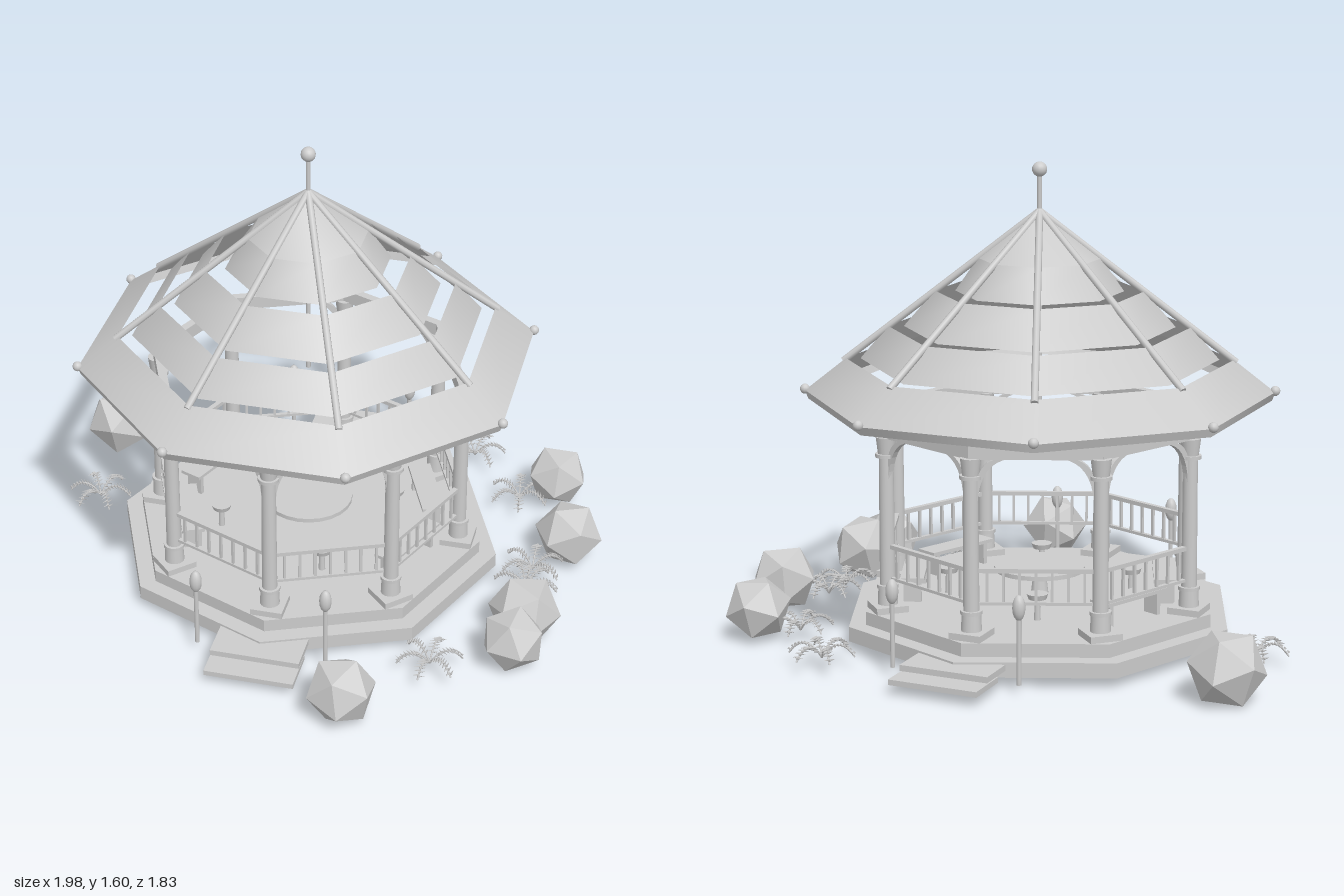
import * as THREE from 'three';

export function createModel() {
  const model = new THREE.Group();
  const stone = new THREE.MeshStandardMaterial({ color: 0xcccccc });
  stone.name = 'plainGrey';
  stone.side = THREE.DoubleSide;
  const faceted = stone.clone();
  faceted.name = 'plainGreyFaceted';
  faceted.flatShading = true;

  const EIGHTH = Math.PI / 4;
  const pavilion = new THREE.Group();
  pavilion.name = 'pavilion';
  pavilion.position.set(-0.027, 0, -0.087);
  model.add(pavilion);

  const add = (parent, name, geo, x = 0, y = 0, z = 0, mat = stone) => {
    const m = new THREE.Mesh(geo, mat);
    m.name = name;
    m.position.set(x, y, z);
    parent.add(m);
    return m;
  };
  // Upright cylinder or frustum given by its bottom and top heights
  const drum = (parent, name, rTop, rBottom, y0, y1, sides = 16, open = false, x = 0, z = 0, mat = stone) =>
    add(parent, name, new THREE.CylinderGeometry(rTop, rBottom, y1 - y0, sides, 1, open), x, (y0 + y1) / 2, z, mat);
  // Round bar between two points
  const bar = (parent, name, a, b, r, sides = 8) => {
    const d = b.clone().sub(a);
    const m = add(parent, name, new THREE.CylinderGeometry(r, r, d.length(), sides));
    m.position.copy(a).addScaledVector(d, 0.5);
    m.quaternion.setFromUnitVectors(new THREE.Vector3(0, 1, 0), d.normalize());
  };
  const polar = (angle, r, y) => new THREE.Vector3(Math.sin(angle) * r, y, Math.cos(angle) * r);

  // Octagonal platform in two levels
  drum(pavilion, 'platformBase', 0.677, 0.677, 0.045, 0.095, 8, false, 0, 0, faceted);
  drum(pavilion, 'platformFloor', 0.617, 0.617, 0.095, 0.14, 8, false, 0, 0, faceted);

  // Entrance steps and lamps, front and back
  for (const s of [1, -1]) {
    add(pavilion, 'lowerStep', new THREE.BoxGeometry(0.306, 0.018, 0.16), 0, 0.055, s * 0.75);
    add(pavilion, 'upperStep', new THREE.BoxGeometry(0.306, 0.02, 0.15), 0, 0.078, s * 0.675);
    for (const t of [1, -1]) {
      drum(pavilion, 'lampPost', 0.008, 0.008, 0.045, 0.26, 8, false, t * 0.222, s * 0.662);
      const head = add(pavilion, 'lampHead', new THREE.SphereGeometry(0.021, 12, 8), t * 0.222, 0.297, s * 0.662);
      head.scale.y = 2;
    }
  }

  // Curved bracket board, running outward along +x from its column
  const bracketShape = new THREE.Shape();
  bracketShape.moveTo(0.022, 0.585);
  bracketShape.quadraticCurveTo(0.03, 0.715, 0.125, 0.73);
  bracketShape.lineTo(0.09, 0.73);
  bracketShape.quadraticCurveTo(0.03, 0.72, 0.018, 0.65);
  const bracketGeo = new THREE.ExtrudeGeometry(bracketShape, { depth: 0.02, bevelEnabled: false, curveSegments: 8 });
  bracketGeo.translate(0, 0, -0.01);

  const R = 0.54;
  const side = 2 * R * Math.sin(EIGHTH / 2);
  const apothem = R * Math.cos(EIGHTH / 2);
  for (let i = 0; i < 8; i++) {
    const a = i * EIGHTH;
    // Column with base, rings and capital
    const column = new THREE.Group();
    column.name = 'column';
    column.position.copy(polar(a, R, 0));
    column.rotation.y = a;
    pavilion.add(column);
    add(column, 'columnPlinth', new THREE.BoxGeometry(0.11, 0.022, 0.11), 0, 0.151, 0);
    drum(column, 'columnBase', 0.031, 0.034, 0.16, 0.225);
    drum(column, 'columnBaseRing', 0.036, 0.036, 0.217, 0.229);
    drum(column, 'columnShaft', 0.024, 0.026, 0.225, 0.73);
    drum(column, 'columnNeckRing', 0.036, 0.036, 0.662, 0.674);
    drum(column, 'columnCapital', 0.034, 0.027, 0.674, 0.73);

    // One side of the octagon: beam, brackets and railing
    const bay = new THREE.Group();
    bay.name = 'bay';
    bay.position.copy(polar(a + EIGHTH / 2, apothem, 0));
    bay.rotation.y = a + EIGHTH / 2;
    pavilion.add(bay);
    add(bay, 'beam', new THREE.BoxGeometry(side + 0.012, 0.048, 0.03), 0, 0.751, 0);
    for (const s of [0, 1]) {
      const bracket = add(bay, 'bracket', bracketGeo, s ? side / 2 : -side / 2, 0, 0);
      bracket.rotation.y = s * Math.PI;
    }
    add(bay, 'topRail', new THREE.BoxGeometry(side - 0.04, 0.014, 0.018), 0, 0.361, 0);
    add(bay, 'bottomRail', new THREE.BoxGeometry(side - 0.04, 0.01, 0.014), 0, 0.252, 0);
    for (let k = -3; k <= 3; k++)
      add(bay, 'baluster', new THREE.BoxGeometry(0.009, 0.11, 0.009), k * 0.052, 0.305, 0);
    // Benches against the left and right railings
    if (i % 4 === 1 || i % 4 === 2) {
      add(bay, 'benchSeat', new THREE.BoxGeometry(0.28, 0.012, 0.08), 0, 0.222, -0.075);
      for (const s of [1, -1])
        add(bay, 'benchLeg', new THREE.BoxGeometry(0.015, 0.08, 0.06), s * 0.11, 0.178, -0.075);
    }
  }

  // Centre table and four stools
  drum(pavilion, 'tableTop', 0.155, 0.155, 0.225, 0.24, 24);
  drum(pavilion, 'tableLeg', 0.02, 0.03, 0.14, 0.225, 12);
  for (let i = 0; i < 4; i++) {
    const p = polar(EIGHTH / 2 + i * 2 * EIGHTH, 0.31, 0);
    drum(pavilion, 'stoolSeat', 0.036, 0.03, 0.212, 0.23, 16, false, p.x, p.z);
    drum(pavilion, 'stoolLeg', 0.009, 0.012, 0.14, 0.212, 8, false, p.x, p.z);
  }

  // Tiered octagonal roof; every tier tucks in under the rim of the one below
  const roof = new THREE.Group();
  roof.name = 'roof';
  roof.rotation.y = EIGHTH / 2;
  pavilion.add(roof);
  const tiers = [
    ['eaveTier', 0.647, 0.786, 0.84, 0.95],
    ['lowerTier', 0.505, 0.598, 0.95, 1.06],
    ['middleTier', 0.348, 0.452, 1.06, 1.18],
    ['upperTier', 0.204, 0.28, 1.18, 1.29],
    ['capTier', 0.002, 0.204, 1.29, 1.447],
  ];
  for (const [name, rTop, rBottom, y0, y1] of tiers) drum(roof, name, rTop, rBottom, y0, y1, 8, true);
  drum(roof, 'fascia', 0.786, 0.776, 0.812, 0.84, 8, true);
  const apex = new THREE.Vector3(0, 1.447, 0);
  for (let i = 0; i < 8; i++) {
    bar(roof, 'rafter', apex, polar(i * EIGHTH, 0.655, 0.942), 0.012);
    const p = polar(i * EIGHTH, 0.786, 0.845);
    add(roof, 'eaveBall', new THREE.SphereGeometry(0.017, 12, 8), p.x, p.y, p.z);
  }
  drum(roof, 'finialPole', 0.008, 0.008, 0.77, 1.57, 8);
  add(roof, 'finialBall', new THREE.SphereGeometry(0.025, 16, 12), 0, 1.585, 0);

  // Boulders: x, z, radius
  const rocks = [
    [-0.87, -0.555, 0.13], [0.786, -0.58, 0.113], [0.882, -0.235, 0.12],
    [0.807, 0.24, 0.125], [0.797, 0.406, 0.113], [0.303, 0.803, 0.12],
  ];
  rocks.forEach(([x, z, r], i) => {
    const rock = add(model, 'rock', new THREE.IcosahedronGeometry(r, 0), x, 0.125, z, faceted);
    rock.rotation.set(i * 1.3 + 0.4, i * 2.1, i * 0.7);
  });

  // Ferns: arching fronds with paired leaflets
  const curve = new THREE.QuadraticBezierCurve3(
    new THREE.Vector3(0, 0.045, 0), new THREE.Vector3(0.055, 0.135, 0), new THREE.Vector3(0.112, 0.055, 0));
  const stemGeo = new THREE.TubeGeometry(curve, 8, 0.003, 5);
  const leafGeo = new THREE.ConeGeometry(0.0045, 0.024, 4);
  const ferns = [[0.45, -0.755], [0.66, -0.52], [-0.83, -0.165], [0.78, -0.1], [0.775, 0.015], [0.535, 0.5]];
  ferns.forEach(([x, z], n) => {
    const fern = new THREE.Group();
    fern.name = 'fern';
    fern.position.set(x, 0, z);
    fern.rotation.y = n * 0.45 + 0.2;
    model.add(fern);
    for (let i = 0; i < 6; i++) {
      const frond = new THREE.Group();
      frond.name = 'frond';
      frond.rotation.y = (i * Math.PI) / 3;
      fern.add(frond);
      add(frond, 'stem', stemGeo);
      for (let k = 2; k <= 9; k++) {
        const p = curve.getPoint(k / 10);
        for (const s of [1, -1]) {
          const leaf = add(frond, 'leaflet', leafGeo, p.x + 0.005, p.y, s * 0.01);
          leaf.rotation.set(s * Math.PI / 2, 0, -s * 0.5, 'YXZ');
        }
      }
    }
  });
  return model;
}
